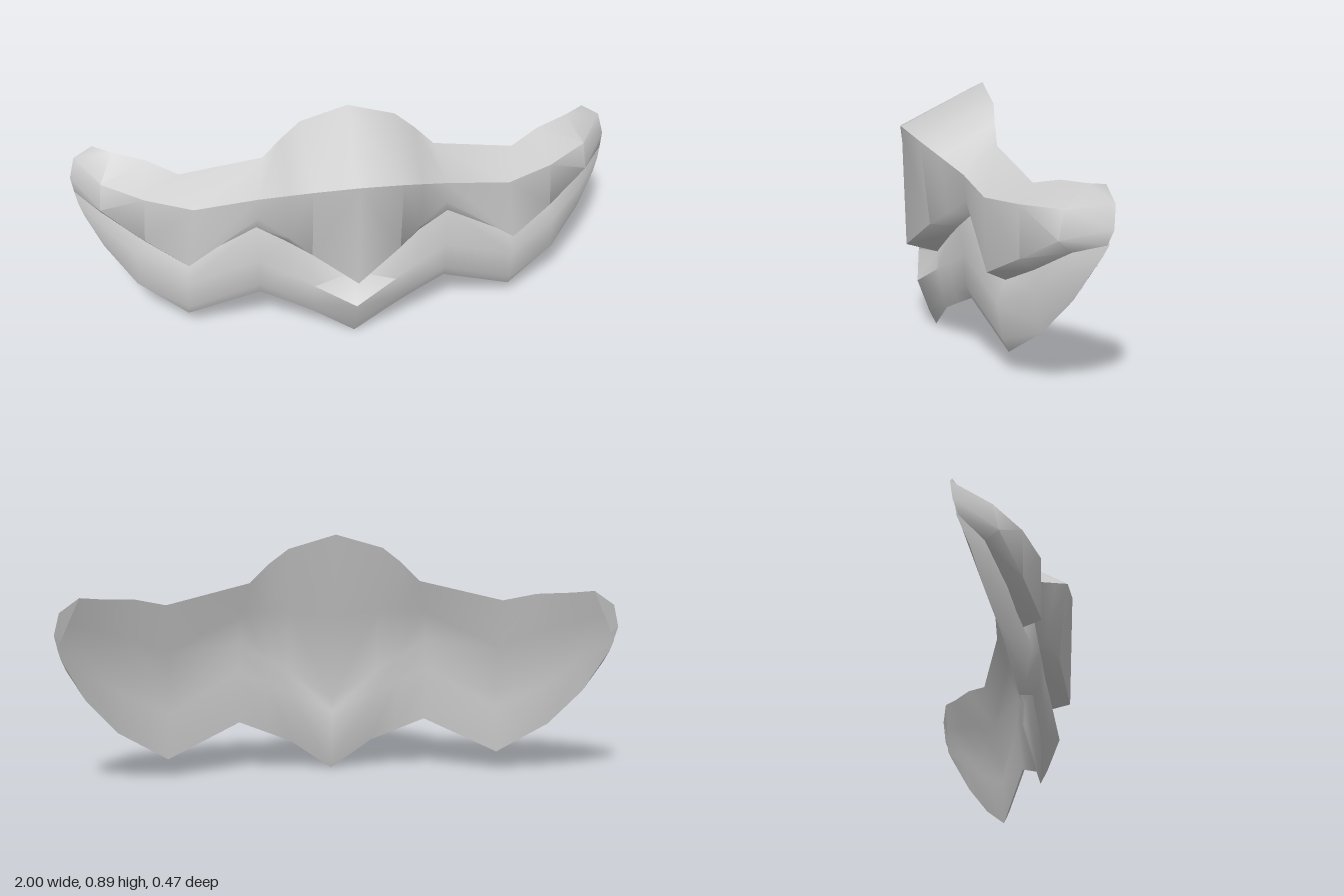
import * as THREE from 'three';
import { toCreasedNormals } from 'three/addons/utils/BufferGeometryUtils.js';

// Each entry is one column of the left half, from the centre out to the wing tip.
// Upper panel: top edge, front ridge, zigzag lip, underside of the lip
const upper = [
  [[0, .895, -.07], [0, .745, .23], [0, .31, .215], [0, .275, .1]],
  [[.17, .845, -.065], [.16, .72, .2], [.16, .42, .165], [.16, .375, .09]],
  [[.24, .79, -.05], [.24, .68, .15], [.24, .475, .12], [.24, .425, .08]],
  [[.31, .72, -.04], [.34, .63, .088], [.34, .54, .08], [.35, .49, .062]],
  [[.61, .65, -.08], [.57, .6, .076], [.6, .35, .075], [.6, .32, .01]],
  [[.72, .68, -.14], [.74, .61, .005], [.75, .43, .005], [.75, .39, -.045]],
  [[.84, .69, -.195], [.89, .62, -.1], [.9, .52, -.08], [.9, .48, -.125]],
  [[.91, .7, -.232], [.98, .65, -.24], [1, .57, -.23], [.99, .52, -.212]],
];
// Fringe below the lip: bulge, lower front, bottom edge
const fringe = [
  [[0, .17, .175], [0, .05, .13], [0, 0, .105]],
  [[.15, .25, .135], [.15, .15, .118], [.15, .105, .1]],
  [[.24, .295, .11], [.24, .19, .1], [.24, .145, .08]],
  [[.345, .35, .086], [.345, .24, .084], [.345, .19, .06]],
  [[.61, .245, .042], [.61, .115, .02], [.61, .07, 0]],
  [[.78, .33, -.035], [.78, .21, -.05], [.79, .185, -.06]],
  [[.89, .42, -.1], [.9, .345, -.12], [.9, .32, -.13]],
  [[.98, .48, -.195], [.965, .44, -.18], [.96, .43, -.175]],
];
// Back: lower and upper zigzag line
const back = [
  [[0, .225, .05], [0, .275, .07]],
  [[.16, .3, .045], [.16, .375, .06]],
  [[.24, .335, .045], [.24, .42, .055]],
  [[.35, .385, .04], [.35, .485, .045]],
  [[.6, .24, -.005], [.6, .295, -.002]],
  [[.76, .32, -.07], [.75, .38, -.065]],
  [[.89, .41, -.14], [.9, .47, -.15]],
  [[.98, .48, -.2], [.99, .52, -.218]],
];

// Mirrors the columns and skins them as one sheet; rows run down the front
function sheet(name, columns) {
  const mirrored = columns.slice(1).reverse().map(c => c.map(([x, y, z]) => [-x, y, z]));
  const all = [...mirrored, ...columns];
  const rows = columns[0].length;
  const index = [];
  for (let j = 0; j < all.length - 1; j++) {
    for (let i = 0; i < rows - 1; i++) {
      const a = j * rows + i, b = a + 1, c = a + rows, d = c + 1;
      // The diagonal flips across the middle to stay symmetrical
      if (j < mirrored.length) index.push(a, b, c, b, d, c);
      else index.push(a, b, d, a, d, c);
    }
  }
  const geometry = new THREE.BufferGeometry();
  geometry.setAttribute('position', new THREE.Float32BufferAttribute(all.flat(2), 3));
  geometry.setIndex(index);
  const mesh = new THREE.Mesh(
    toCreasedNormals(geometry, 0.8),
    new THREE.MeshStandardMaterial({ color: 0xcccccc, side: THREE.DoubleSide })
  );
  mesh.name = name;
  return mesh;
}

export function createModel() {
  const group = new THREE.Group();
  group.name = 'wingedPlate';

  group.add(sheet('upperPanel', upper));

  // The fringe hangs from the underside of the lip
  group.add(sheet('zigzagFringe', fringe.map((c, j) => [upper[j][3], ...c])));

  // The back runs from the bottom edge up to the top edge
  group.add(sheet('backPanel', back.map(([low, high], j) => {
    const top = upper[j][0];
    const middle = top.map((v, k) => (v + high[k]) / 2);
    return [fringe[j][2], low, high, middle, top];
  })));

  // End caps close the narrow wing tips
  const last = upper.length - 1;
  const rim = [...upper[last], ...fringe[last]];
  const inner = [...back[last], upper[last][0].map((v, k) => (v + back[last][1][k]) / 2)];
  const loop = [...rim, ...inner];
  for (const side of [1, -1]) {
    const centre = [0, 1, 2].map(k => loop.reduce((s, p) => s + p[k], 0) / loop.length);
    const points = [];
    loop.forEach((p, i) => {
      const q = loop[(i + 1) % loop.length];
      for (const v of side > 0 ? [centre, p, q] : [centre, q, p]) points.push(v[0] * side, v[1], v[2]);
    });
    const geometry = new THREE.BufferGeometry();
    geometry.setAttribute('position', new THREE.Float32BufferAttribute(points, 3));
    geometry.computeVertexNormals();
    const cap = new THREE.Mesh(
      geometry,
      new THREE.MeshStandardMaterial({ color: 0xcccccc, side: THREE.DoubleSide })
    );
    cap.name = side > 0 ? 'leftWingTip' : 'rightWingTip';
    group.add(cap);
  }
  return group;
}
